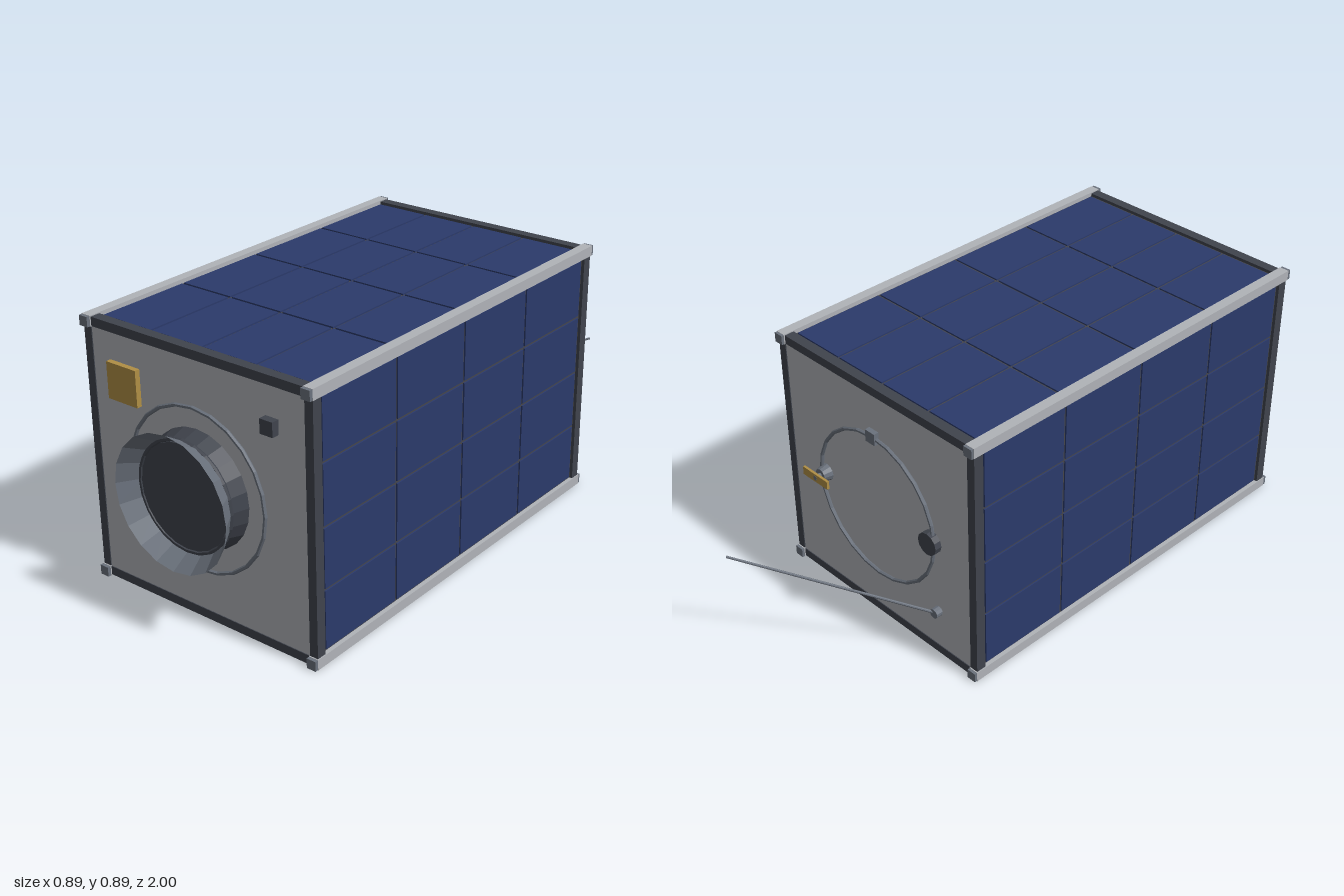
import * as THREE from 'three';

const mat = (name, color, side = THREE.FrontSide) => {
  const m = new THREE.MeshStandardMaterial({ color, side });
  m.name = name;
  return m;
};

export function createModel() {
  const root = new THREE.Group();
  root.name = 'satellite';
  const silver = mat('silver', 0xb0b3b8);
  const dark = mat('darkFrame', 0x40444d);
  const steel = mat('steel', 0x6b727d, THREE.DoubleSide);
  const blue = mat('solarBlue', 0x2b3a6b);
  const backing = mat('panelBacking', 0x46464a);
  const gold = mat('gold', 0xb08f45);

  const CY = 0.46, FRONT = 0.875, BACK = -0.565, MID = (FRONT + BACK) / 2;
  // Everything is laid out around the body axis, so y = 0 here is the body centre
  const body = new THREE.Group();
  body.name = 'body';
  body.position.y = CY;
  root.add(body);

  const add = (parent, name, geo, material, x = 0, y = 0, z = 0) => {
    geo = geo.index ? geo.toNonIndexed() : geo;
    geo.computeVertexNormals(); // faceted
    const m = new THREE.Mesh(geo, material);
    m.name = name;
    m.position.set(x, y, z);
    parent.add(m);
    return m;
  };
  const box = (parent, name, material, w, h, d, x, y, z) =>
    add(parent, name, new THREE.BoxGeometry(w, h, d), material, x, y, z);
  // Cylinder along z: r1 at the +z end, r0 at the -z end
  const disc = (name, material, r1, r0, d, x, y, z, seg = 24, open = false) =>
    add(body, name, new THREE.CylinderGeometry(r1, r0, d, seg, 1, open).rotateX(Math.PI / 2), material, x, y, z);

  // Core and end plates
  box(body, 'core', dark, 0.83, 0.83, 1.42, 0, 0, MID);
  box(body, 'frontPlate', silver, 0.83, 0.83, 0.012, 0, 0, FRONT - 0.008);
  box(body, 'backPlate', silver, 0.83, 0.83, 0.012, 0, 0, BACK + 0.008);

  // Corner rails with end caps
  for (const sx of [-1, 1]) for (const sy of [-1, 1]) {
    const x = sx * 0.429, y = sy * 0.429;
    box(body, 'cornerRail', silver, 0.035, 0.035, 1.45, x, y, MID);
    for (const z of [FRONT + 0.008, BACK - 0.006])
      box(body, 'railCap', steel, 0.033, 0.033, 0.016, x, y, z);
  }

  // Frame bars around both ends
  for (const z of [FRONT - 0.0165, BACK + 0.0165]) for (const s of [-1, 1]) {
    box(body, 'frameUpright', dark, 0.03, 0.826, 0.035, s * 0.428, 0, z);
    box(body, 'frameCrossbar', dark, 0.826, 0.03, 0.035, 0, s * 0.428, z);
  }

  // Four solar panels, each a 4 x 4 grid of cells
  for (let side = 0; side < 4; side++) {
    const panel = new THREE.Group();
    panel.name = 'solarPanel';
    panel.rotation.z = side * Math.PI / 2;
    body.add(panel);
    box(panel, 'panelBacking', backing, 0.822, 0.018, 1.372, 0, 0.423, MID);
    const cw = 0.204, cd = 0.34;
    for (let i = 0; i < 4; i++) for (let j = 0; j < 4; j++)
      box(panel, 'solarCell', blue, cw - 0.009, 0.006, cd - 0.009,
        (i - 1.5) * cw, 0.434, MID + (j - 1.5) * cd);
  }

  // Front sensor: neck, open flared hood, lens
  disc('sensorNeck', dark, 0.178, 0.195, 0.058, 0, 0, 0.901);
  disc('sensorHood', steel, 0.222, 0.178, 0.07, 0, 0, 0.965, 20, true);
  disc('lens', dark, 0.172, 0.172, 0.012, 0, 0, 0.933);
  add(body, 'lensRim', new THREE.TorusGeometry(0.18, 0.008, 6, 24), dark, 0, 0, 0.934);

  // Rings on both ends
  const ring = (name, z) =>
    add(body, name, new THREE.TorusGeometry(0.267, 0.0065, 6, 24), steel, 0, 0, z);
  ring('frontRing', 0.886);
  ring('backRing', BACK - 0.008);

  // Front fittings
  box(body, 'patchAntenna', gold, 0.12, 0.12, 0.018, -0.27, 0.27, 0.893);
  box(body, 'frontSensor', dark, 0.047, 0.047, 0.026, 0.293, 0.294, 0.887);

  // Back fittings
  disc('backKnob', dark, 0.04, 0.04, 0.024, -0.25, 0, BACK - 0.01, 12);
  box(body, 'backBlock', steel, 0.042, 0.042, 0.018, 0, 0.267, BACK - 0.008);
  disc('thrusterBase', steel, 0.03, 0.022, 0.03, 0.25, 0, BACK - 0.014, 12);
  disc('thrusterStem', steel, 0.009, 0.009, 0.03, 0.25, 0, BACK - 0.036, 8);
  box(body, 'goldBar', gold, 0.12, 0.03, 0.009, 0.25, 0, -0.611);

  // Whip antenna
  const from = new THREE.Vector3(-0.272, -0.265, -0.58);
  const to = new THREE.Vector3(0.22, -0.086, -0.998);
  disc('antennaBase', steel, 0.017, 0.017, 0.024, from.x, from.y, BACK - 0.012, 10);
  const dir = to.clone().sub(from);
  const rod = add(body, 'whipAntenna', new THREE.CylinderGeometry(0.004, 0.005, dir.length(), 8), steel);
  rod.position.copy(from).addScaledVector(dir, 0.5);
  rod.quaternion.setFromUnitVectors(new THREE.Vector3(0, 1, 0), dir.normalize());

  return root;
}
